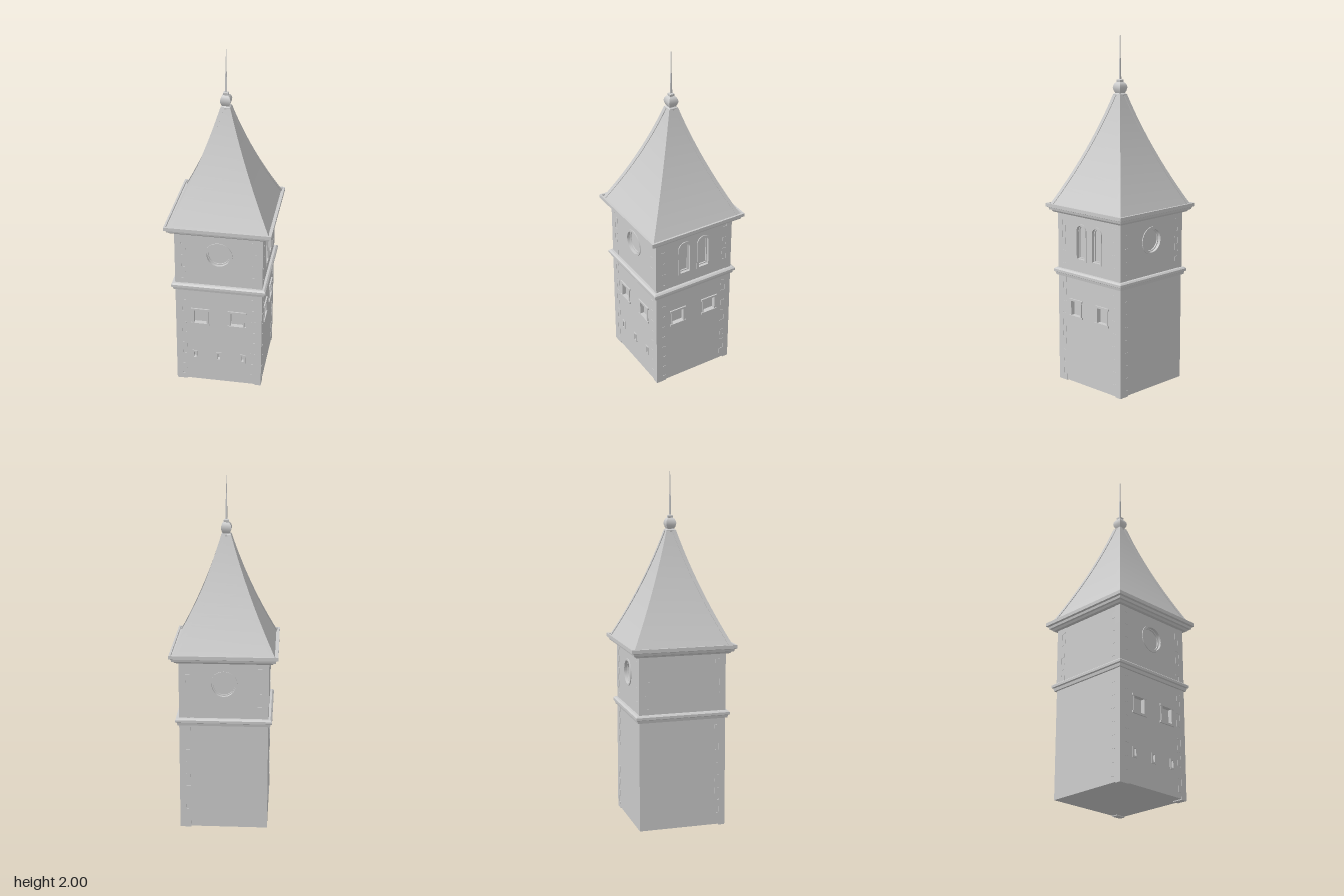
import * as THREE from 'three';
import { toCreasedNormals, mergeGeometries } from 'three/addons/utils/BufferGeometryUtils.js';

const W = 0.249;       // half width of the walls
const RECESS = 0.02;   // depth of the window openings
const mat = new THREE.MeshStandardMaterial({ color: 0xcccccc });

function add(parent, name, geo, x = 0, y = 0, z = 0) {
  const m = new THREE.Mesh(geo, mat);
  m.name = name;
  m.position.set(x, y, z);
  parent.add(m);
  return m;
}

// Square turned solid from [half width, height] pairs, bottom to top
function squareLathe(profile, crease = 0.5) {
  const pts = profile.map(([h, y]) => new THREE.Vector2(h * Math.SQRT2, y));
  return toCreasedNormals(new THREE.LatheGeometry(pts, 4, Math.PI / 4), crease);
}

// Outlines on a wall; g grows (or shrinks) the outline
function rect(x, y, hw, hh, g = 0) {
  const a = hw + g, b = hh + g;
  return new THREE.Shape([[-a, -b], [a, -b], [a, b], [-a, b]].map(([u, v]) => new THREE.Vector2(x + u, y + v)));
}
function arch(x, y0, y1, hw, g = 0) {
  const s = new THREE.Shape();
  s.moveTo(x - hw - g, y0 - g);
  s.lineTo(x + hw + g, y0 - g);
  s.lineTo(x + hw + g, y1);
  s.absarc(x, y1, hw + g, 0, Math.PI, false);
  s.closePath();
  return s;
}
function circle(x, y, r, g = 0) {
  const s = new THREE.Shape();
  s.absarc(x, y, r + g, 0, Math.PI * 2, false);
  return s;
}

function slab(shape, holes, depth) {
  shape.holes.push(...holes);
  return toCreasedNormals(new THREE.ExtrudeGeometry(shape, { depth, bevelEnabled: false, curveSegments: 24 }), 0.5);
}

// One wall panel with its openings, frames and inner frames
function wallFace(openings) {
  const face = new THREE.Group();
  const holes = openings.map(o => o.outline(0));
  add(face, 'wall', slab(rect(0, 0.505, W, 0.5), holes, RECESS), 0, 0, W - RECESS);
  for (const o of openings) {
    add(face, o.name + 'Frame', slab(o.outline(o.frame), [o.outline(0)], 0.008), 0, 0, W - 0.003);
    if (o.inner) add(face, o.name + 'InnerFrame', slab(o.outline(0), [o.outline(-o.inner)], 0.008), 0, 0, W - RECESS);
    if (o.ears) {
      for (const [part, dy] of [['Lintel', 0.049], ['Sill', -0.049]]) {
        add(face, o.name + part, new THREE.BoxGeometry(0.108, 0.012, 0.014), o.x, o.y + dy, W + 0.001);
      }
    }
  }
  return face;
}

const roundWindow = { name: 'roundWindow', frame: 0.012, inner: 0.006, outline: g => circle(0, 0.87, 0.067, g) };
const archWindows = [-0.062, 0.062].map(x => (
  { name: 'archedWindow', frame: 0.011, inner: 0.006, outline: g => arch(x, 0.75, 0.912, 0.032, g) }));
const squareWindows = [-0.107, 0.107].map(x => (
  { name: 'squareWindow', frame: 0.009, ears: true, x, y: 0.45, outline: g => rect(x, 0.45, 0.037, 0.043, g) }));
const slits = [-0.142, 0, 0.142].map(x => (
  { name: 'slitWindow', frame: 0.009, outline: g => rect(x, 0.18, 0.007, 0.02, g) }));

// Alternating corner stones between two heights, for the +x +z corner
function quoins(y0, y1) {
  const n = Math.round((y1 - y0) / 0.037), h = (y1 - y0) / n, out = W + 0.002;
  const parts = [];
  for (let i = 0; i < n; i++) {
    const a = i % 2 ? 0.062 : 0.037, b = i % 2 ? 0.037 : 0.062;
    const box = new THREE.BoxGeometry(a, h, b);
    parts.push(box.translate(out - a / 2, y0 + (i + 0.5) * h, out - b / 2));
  }
  return mergeGeometries(parts);
}

// Concave roof profile
const roofProfile = [];
for (let i = 0; i <= 12; i++) {
  const t = i / 12;
  roofProfile.push([0.281 - 0.257 * t - 0.07 * t * (1 - t), 1.04 + 0.63 * t]);
}

// Raised rib following one roof corner
function hipRib() {
  const w = 0.019, e = 0.004, pos = [], idx = [];
  for (const [h, y] of roofProfile) {
    for (const [x, z] of [[-e, -w], [e, -w], [e, e], [-w, e], [-w, -e]]) pos.push(h + x, y, h + z);
  }
  for (let i = 0; i < roofProfile.length - 1; i++) {
    for (let j = 0; j < 4; j++) {
      const a = i * 5 + j, b = a + 5;
      idx.push(a, b, a + 1, b, b + 1, a + 1);
    }
  }
  const g = new THREE.BufferGeometry();
  g.setAttribute('position', new THREE.Float32BufferAttribute(pos, 3));
  g.setIndex(idx);
  return toCreasedNormals(g, 0.5);
}

export function createModel() {
  const tower = new THREE.Group();
  tower.name = 'clockTower';

  // Solid core behind the openings
  const c = 2 * (W - RECESS);
  add(tower, 'core', new THREE.BoxGeometry(c, 1, c), 0, 0.505, 0);

  // Four walls: front, left (+x), back, right (-x)
  const faces = [
    ['frontWall', [roundWindow, ...squareWindows, ...slits]],
    ['leftWall', [...archWindows, ...squareWindows]],
    ['backWall', [roundWindow]],
    ['rightWall', []],
  ];
  faces.forEach(([name, openings], i) => {
    const f = wallFace(openings);
    f.name = name;
    f.rotation.y = i * Math.PI / 2;
    tower.add(f);
  });

  // Corner stones and roof ribs
  const lower = quoins(0, 0.63), upper = quoins(0.67, 1.005), rib = hipRib();
  for (let i = 0; i < 4; i++) {
    const a = i * Math.PI / 2;
    if (i !== 2) add(tower, 'lowerQuoins', lower).rotation.y = a;
    add(tower, 'upperQuoins', upper).rotation.y = a;
    add(tower, 'roofRib', rib).rotation.y = a;
  }

  // Belt course and eaves cornice
  add(tower, 'beltCourse', squareLathe([
    [0.24, 0.63], [0.26, 0.63], [0.263, 0.646], [0.271, 0.65], [0.271, 0.664], [0.262, 0.672], [0.24, 0.674]]));
  add(tower, 'cornice', squareLathe([
    [0.24, 1.0], [0.27, 1.0], [0.277, 1.01], [0.287, 1.013], [0.29, 1.026], [0.301, 1.03],
    [0.301, 1.05], [0.29, 1.05], [0.29, 1.04], [0.2, 1.04]]));

  // Roof
  add(tower, 'roof', squareLathe(roofProfile));

  // Finial and spire
  add(tower, 'finial', squareLathe([
    [0.02, 1.66], [0.027, 1.662], [0.027, 1.672], [0.019, 1.678], [0.024, 1.688], [0.028, 1.7], [0.029, 1.711],
    [0.026, 1.724], [0.02, 1.734], [0.013, 1.739], [0.014, 1.743], [0.014, 1.752], [0.004, 1.756]], 0.7));
  add(tower, 'spire', squareLathe([[0.005, 1.75], [0.004, 1.86], [0.002, 1.88], [0.0015, 1.995], [0, 2]]));
  return tower;
}
